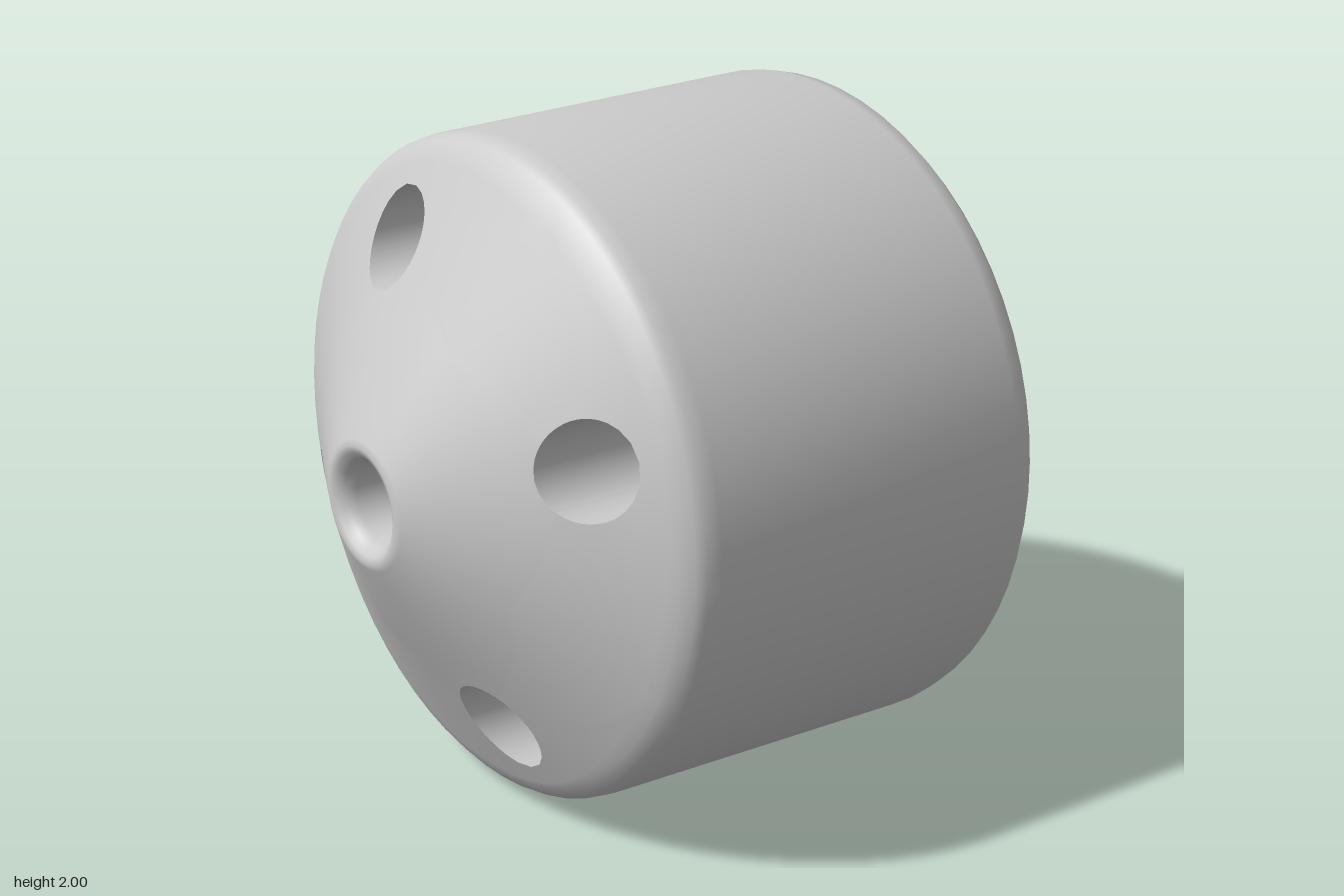
import * as THREE from 'three';
import { mergeGeometries, toCreasedNormals } from 'three/addons/utils/BufferGeometryUtils.js';

const SIDE = 16;             // segments per quarter turn
const INNER = 0.5;           // radii bounding the drilled rings
const HOLE_R = 0.14;
const FIRST_HOLE = Math.atan2(0.68, 0.25);

// Axial position of the two end faces at a given radius
const coneFace = (r) => -0.81 + (r - 0.19) * 0.534;
const dishFace = (r) => 0.815 - 0.13 * Math.max(0, 0.91 - r) ** 2;

// Point at axial x, radius r and angle a about the main axis
const polar = (x, r, a) => [x, 1 + r * Math.cos(a), r * Math.sin(a)];

// Skin a list of equally long rows of points
function skin(rows) {
  const n = rows[0].length, index = [];
  for (let i = 0; i < rows.length - 1; i++) {
    for (let j = 0; j < n - 1; j++) {
      const a = i * n + j, b = a + n;
      index.push(a, a + 1, b, a + 1, b + 1, b);
    }
  }
  const g = new THREE.BufferGeometry();
  g.setAttribute('position', new THREE.Float32BufferAttribute(rows.flat(2), 3));
  g.setIndex(index);
  return g;
}

// Revolve a profile of [x, radius] points about the main axis
function revolve(profile) {
  return skin(profile.map(([x, r]) => Array.from({ length: 4 * SIDE + 1 },
    (_, j) => polar(x, r, FIRST_HOLE + Math.PI / 4 + (j / (4 * SIDE)) * Math.PI * 2))));
}

// Border of a quarter ring as [angle, radius], and the hole points facing it
function quarterLoops(outer, centre) {
  const q = Math.PI / 4;
  const corners = [[q, outer], [-q, outer], [-q, INNER], [q, INNER], [q, outer]];
  const border = [];
  for (let s = 0; s < 4; s++) {
    for (let k = 0; k < SIDE; k++) {
      const t = k / SIDE, [a0, r0] = corners[s], [a1, r1] = corners[s + 1];
      border.push([a0 + (a1 - a0) * t, r0 + (r1 - r0) * t]);
    }
  }
  border.push(border[0]);
  const hole = border.map(([a, r]) => {
    const phi = Math.atan2(r * Math.sin(a), r * Math.cos(a) - centre);
    const u = centre + HOLE_R * Math.cos(phi), v = HOLE_R * Math.sin(phi);
    return [Math.atan2(v, u), Math.hypot(u, v)];
  });
  return { border, hole };
}

// Quarter of an end face, from the hole edge out to its border
function drilledQuarter({ border, hole }, face, turn, flip) {
  const rows = [];
  for (let i = 0; i <= 5; i++) {
    const t = i / 5;
    rows.push(border.map(([a, r], j) => {
      const rr = hole[j][1] + (r - hole[j][1]) * t;
      return polar(face(rr), rr, turn + hole[j][0] + (a - hole[j][0]) * t);
    }));
  }
  return skin(flip ? rows.reverse() : rows);
}

export function createModel() {
  const group = new THREE.Group();
  const material = new THREE.MeshStandardMaterial({ color: 0xcccccc });
  const add = (name, geometry) => {
    const mesh = new THREE.Mesh(toCreasedNormals(geometry, 0.75), material);
    mesh.name = name;
    group.add(mesh);
  };

  // Slightly tapered outer wall with rounded shoulders
  const wall = [[coneFace(0.92), 0.92], [-0.39, 0.955], [-0.365, 0.97], [-0.32, 0.975],
    [0.72, 1], [0.77, 0.99], [0.805, 0.96], [0.815, 0.91]];

  // Dished centre, flared mouth, bore, rounded nose and the start of the cone
  const bore = [...[INNER, 0.42, 0.33, 0.25].map((r) => [dishFace(r), r]),
    [0.74, 0.2], [0.7, 0.16], [0.65, 0.13], [0.58, 0.118], [-0.76, 0.118],
    [-0.79, 0.13], [-0.812, 0.15], [-0.818, 0.17], [coneFace(0.19), 0.19], [coneFace(INNER), INNER]];

  // Four drilled quarters on each end face
  const dishLoops = quarterLoops(0.91, 0.725);
  const coneLoops = quarterLoops(0.92, 0.71);
  const parts = [revolve(wall), revolve(bore)];
  for (let k = 0; k < 4; k++) {
    const turn = FIRST_HOLE + k * Math.PI / 2;
    parts.push(drilledQuarter(dishLoops, dishFace, turn, false));
    parts.push(drilledQuarter(coneLoops, coneFace, turn, true));

    // Hole wall running from the cone to the dished face
    const ends = [[coneLoops, coneFace], [dishLoops, dishFace]];
    add('throughHole' + (k + 1), skin(ends.map(([loops, face]) =>
      loops.hole.map(([a, r]) => polar(face(r), r, turn + a)))));
  }
  add('body', mergeGeometries(parts));
  return group;
}
